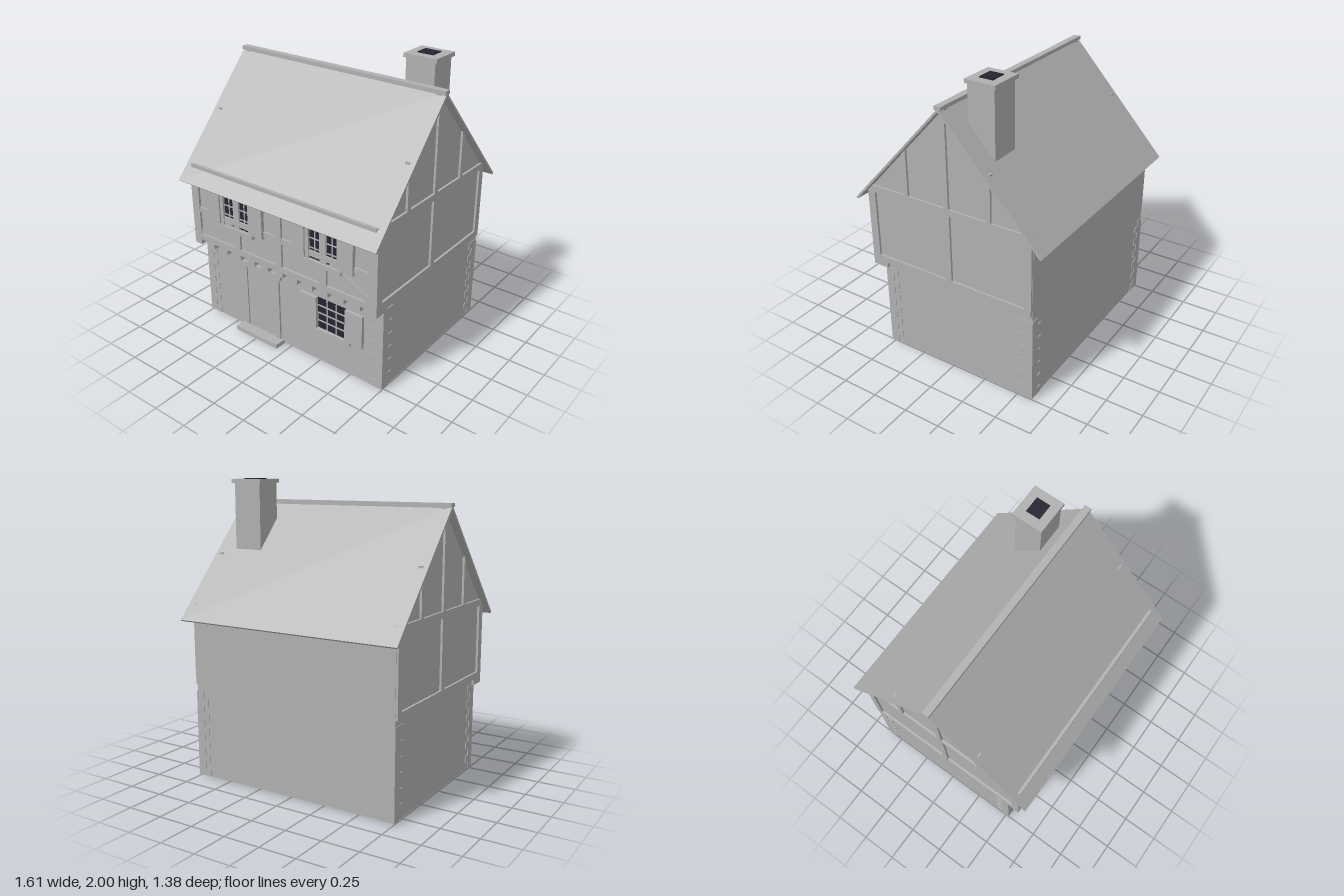
import * as THREE from 'three';

const stone = new THREE.MeshStandardMaterial({ color: 0xb0b0b0 });
stone.name = 'paleGrey';
const dark = new THREE.MeshStandardMaterial({ color: 0x242430 });
dark.name = 'darkGlass';

// Box given by its limits on each axis
function box(parent, name, x0, x1, y0, y1, z0, z1, mat = stone) {
  const m = new THREE.Mesh(new THREE.BoxGeometry(x1 - x0, y1 - y0, z1 - z0), mat);
  m.position.set((x0 + x1) / 2, (y0 + y1) / 2, (z0 + z1) / 2);
  m.name = name;
  parent.add(m);
  return m;
}

function group(parent, name) {
  const g = new THREE.Group();
  g.name = name;
  parent.add(g);
  return g;
}

// Thin glazing bars dividing a pane into columns and rows
function bars(parent, x0, x1, y0, y1, z0, z1, cols, rows) {
  const t = 0.004;
  for (let i = 1; i < cols; i++) {
    const x = x0 + (x1 - x0) * i / cols;
    box(parent, 'glazingBar', x - t, x + t, y0, y1, z0, z1);
  }
  for (let i = 1; i < rows; i++) {
    const y = y0 + (y1 - y0) * i / rows;
    box(parent, 'glazingBar', x0, x1, y - t, y + t, z0, z1);
  }
}

function walls(house) {
  const g = group(house, 'walls');
  box(g, 'lowerFrontWall', -0.75, 0.75, 0.01, 0.64, 0.514, 0.52);
  box(g, 'upperFrontWall', -0.75, 0.75, 0.63, 1.17, 0.594, 0.6);
  box(g, 'jettySoffit', -0.75, 0.75, 0.632, 0.64, 0.514, 0.6);
  box(g, 'backWall', -0.75, 0.75, 0.01, 1.17, -0.605, -0.597);
  for (const s of [-1, 1]) {
    const a = s * 0.75, b = s * 0.744;
    box(g, 'lowerSideWall', Math.min(a, b), Math.max(a, b), 0.01, 0.64, -0.6, 0.52);
    // Upper side wall with its gable, as one face
    const pts = [[0.6, 0.64], [0.6, 1.165], [0, 1.825], [-0.6, 1.165], [-0.6, 0.64]];
    const shape = new THREE.Shape(pts.map(([z, y]) => new THREE.Vector2(-s * z, y)));
    const m = new THREE.Mesh(new THREE.ShapeGeometry(shape), stone);
    m.rotation.y = s * Math.PI / 2;
    m.position.x = s * 0.75;
    m.name = 'gableWall';
    g.add(m);
  }
}

// Corner stones, alternately long and short
function quoins(house) {
  const g = group(house, 'quoins');
  const n = 12, h = 0.59 / n;
  for (const sx of [-1, 1]) for (const sz of [-1, 1]) for (let i = 0; i < n; i++) {
    const w = i % 2 ? 0.06 : 0.1, d = i % 2 ? 0.1 : 0.06;
    const X = sx * 0.755, Z = sz > 0 ? 0.525 : -0.61;
    const x2 = X - sx * w, z2 = Z - sz * d;
    box(g, 'quoin', Math.min(X, x2), Math.max(X, x2), 0.01 + i * h, 0.01 + (i + 1) * h,
      Math.min(Z, z2), Math.max(Z, z2));
  }
}

function timbers(house) {
  const g = group(house, 'timberFrame');
  const z0 = 0.59, z1 = 0.615;
  // Front frame
  box(g, 'frontSill', -0.765, 0.765, 0.637, 0.68, z0, z1);
  box(g, 'frontRail', -0.75, 0.75, 0.85, 0.888, z0, z1 - 0.001);
  box(g, 'frontPlate', -0.75, 0.75, 1.13, 1.195, z0, z1);
  for (const x of [-0.36, 0, 0.36]) box(g, 'frontPost', x - 0.025, x + 0.025, 0.68, 1.13, z0, z1);
  for (const s of [-1, 1]) {
    box(g, 'cornerPost', s * 0.733 - 0.032, s * 0.733 + 0.032, 0.637, 1.15, 0.56, z1 + 0.001);
    const brace = box(g, 'brace', -0.165, 0.165, -0.02, 0.02, z0, z1 - 0.002);
    brace.position.set(s * 0.56, 0.77, (z0 + z1) / 2 - 0.001);
    brace.rotation.z = -s * 0.5;
  }
  // Joist ends below the jetty
  for (let i = 0; i < 13; i++) {
    const x = -0.735 + i * 1.47 / 12;
    box(g, 'joistEnd', x - 0.03, x + 0.03, 0.6, 0.637, 0.5, 0.615);
  }
  // Side frames
  for (const s of [-1, 1]) {
    const side = group(g, 'sideFrame');
    const bar = (name, y0, y1, za, zb, out = 0.765) =>
      box(side, name, s > 0 ? 0.735 : -out, s > 0 ? out : -0.735, y0, y1, za, zb);
    bar('sideSill', 0.637, 0.682, -0.6, 0.61);
    bar('sidePlate', 1.145, 1.19, -0.6, 0.6);
    bar('backPost', 0.682, 1.145, -0.603, -0.555);
    bar('sidePost', 0.682, 1.145, -0.022, 0.022);
    bar('kingPost', 1.19, 1.835, -0.018, 0.018);
    for (const z of [-0.305, 0.305]) bar('gableStrut', 1.19, 1.503, z - 0.017, z + 0.017);
  }
}

function roof(house) {
  const g = group(house, 'roof');
  const len = Math.hypot(0.69, 0.75), ang = Math.atan2(0.75, 0.69), t = 0.014;
  for (const s of [-1, 1]) {
    const m = box(g, 'roofSlope', -0.8, 0.8, 0, t, -len / 2, len / 2);
    m.rotation.x = s * ang;
    const k = t / 2;
    m.position.set(0, 1.465 - k * Math.cos(ang), s * (0.345 - k * Math.sin(ang)));
  }
  box(g, 'ridgeBase', -0.8, 0.8, 1.815, 1.835, -0.014, 0.014);
  box(g, 'ridgeCap', -0.803, 0.803, 1.832, 1.855, -0.023, 0.023);
}

function chimney(house) {
  const g = group(house, 'chimney');
  box(g, 'chimneyStack', 0.445, 0.65, 1.53, 1.97, -0.285, -0.1);
  box(g, 'chimneyCap', 0.43, 0.665, 1.968, 1.994, -0.3, -0.09);
  box(g, 'flueOpening', 0.492, 0.603, 1.991, 2, -0.242, -0.148, dark);
}

// Upper window: two panes either side of the post, frame, sill and shutters
function upperWindow(house, c) {
  const g = group(house, 'upperWindow');
  for (const s of [-1, 1]) {
    const x0 = c + s * 0.067 - 0.042, x1 = c + s * 0.067 + 0.042;
    box(g, 'glass', x0, x1, 0.83, 1.043, 0.593, 0.602, dark);
    bars(g, x0, x1, 0.84, 1.04, 0.6, 0.606, 2, 3);
    const f = c + s * 0.123, sh = c + s * 0.186;
    box(g, 'windowJamb', f - 0.014, f + 0.014, 0.83, 1.05, 0.59, 0.62);
    box(g, 'shutter', sh - 0.051, sh + 0.051, 0.835, 1.05, 0.605, 0.63);
  }
  box(g, 'windowHead', c - 0.137, c + 0.137, 1.043, 1.06, 0.59, 0.62);
  box(g, 'windowSill', c - 0.147, c + 0.147, 0.8, 0.83, 0.59, 0.627);
}

function lowerWindow(house) {
  const g = group(house, 'lowerWindow');
  box(g, 'glass', 0.245, 0.47, 0.27, 0.5, 0.5125, 0.5215, dark);
  bars(g, 0.245, 0.47, 0.27, 0.5, 0.519, 0.527, 3, 4);
  box(g, 'shutter', 0.108, 0.243, 0.265, 0.5, 0.515, 0.543);
  box(g, 'shutter', 0.472, 0.608, 0.265, 0.5, 0.515, 0.543);
  box(g, 'windowSill', 0.205, 0.508, 0.235, 0.268, 0.5, 0.542);
}

function door(house) {
  const g = group(house, 'door');
  box(g, 'doorLeaf', -0.37, -0.12, 0.03, 0.51, 0.505, 0.524);
  box(g, 'doorJamb', -0.405, -0.37, 0.03, 0.51, 0.5, 0.533);
  box(g, 'doorJamb', -0.12, -0.083, 0.03, 0.51, 0.5, 0.533);
  box(g, 'doorLintel', -0.425, -0.06, 0.51, 0.545, 0.5, 0.54);
  box(g, 'doorStep', -0.43, -0.06, 0, 0.03, 0.51, 0.6);
}

export function createModel() {
  const house = new THREE.Group();
  house.name = 'house';
  walls(house);
  quoins(house);
  timbers(house);
  roof(house);
  chimney(house);
  upperWindow(house, -0.36);
  upperWindow(house, 0.36);
  lowerWindow(house);
  door(house);
  return house;
}
